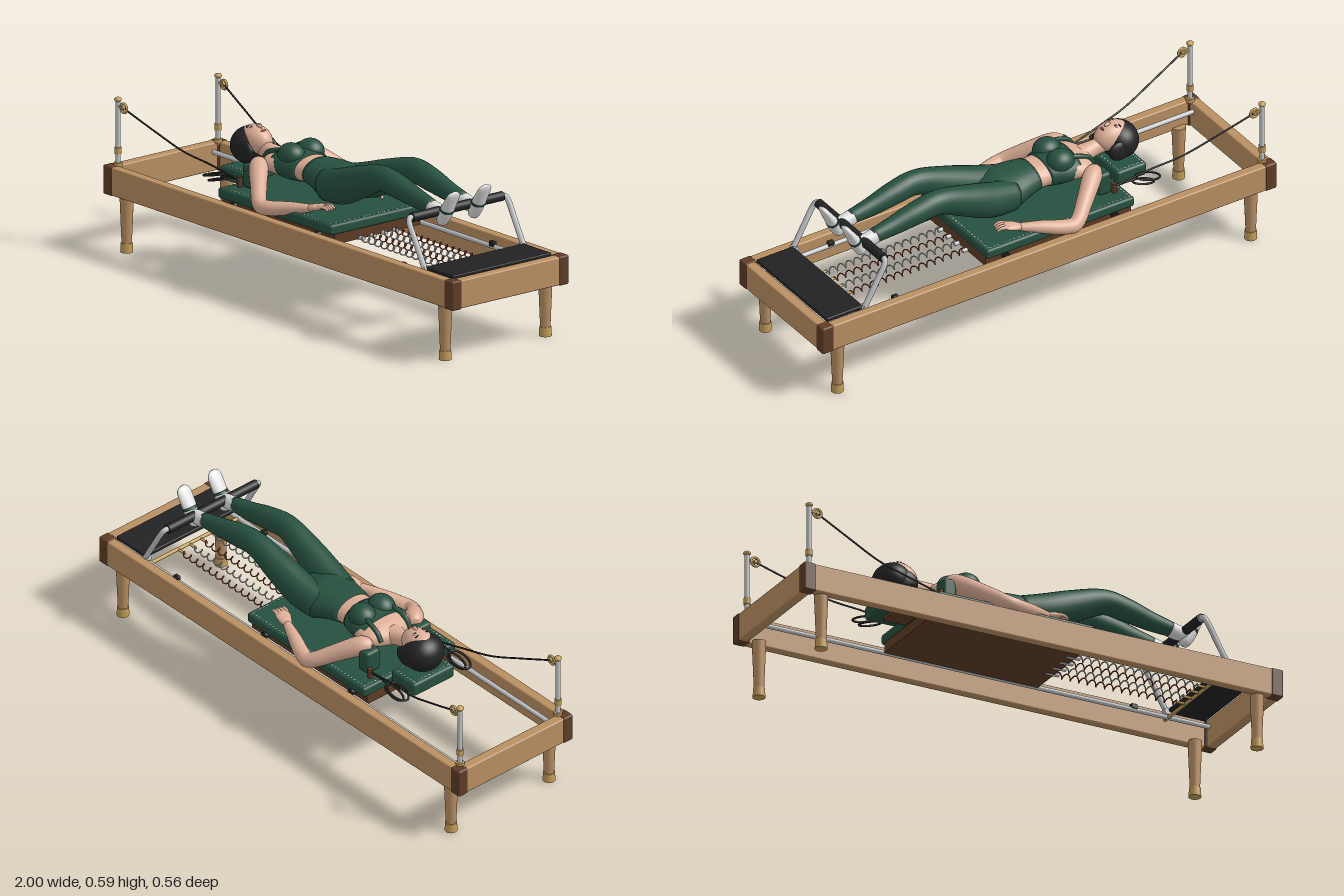
import * as THREE from 'three';
import { mergeGeometries } from 'three/addons/utils/BufferGeometryUtils.js';
import { RoundedBoxGeometry } from 'three/addons/geometries/RoundedBoxGeometry.js';

const V = (x, y, z) => new THREE.Vector3(x, y, z);
const material = (name, color) => Object.assign(new THREE.MeshStandardMaterial({ color }), { name });

// Smooth closed body through elliptical sections [x, y, z, sideRadius, upRadius]
function loft(sections, around = 24, steps = 6) {
  const path = new THREE.CatmullRomCurve3(sections.map(s => V(s[0], s[1], s[2])), false, 'catmullrom');
  const size = new THREE.CatmullRomCurve3(sections.map(s => V(s[3], s[4], 0)), false, 'catmullrom');
  const n = (sections.length - 1) * steps, pos = [], idx = [];
  for (let i = 0; i <= n; i++) {
    const c = path.getPoint(i / n), r = size.getPoint(i / n), t = path.getTangent(i / n);
    const side = t.clone().cross(V(0, 1, 0)).normalize(), up = side.clone().cross(t);
    for (let j = 0; j < around; j++) {
      const a = j / around * Math.PI * 2;
      const p = c.clone().addScaledVector(side, Math.cos(a) * r.x).addScaledVector(up, Math.sin(a) * r.y);
      pos.push(p.x, p.y, p.z);
      const k = (j + 1) % around, b = i * around;
      if (i < n) idx.push(b + j, b + around + j, b + k, b + around + j, b + around + k, b + k);
    }
  }
  const first = n * around + around, last = n * around;
  pos.push(...sections[0].slice(0, 3), ...sections.at(-1).slice(0, 3));
  for (let j = 0; j < around; j++) {
    const k = (j + 1) % around;
    idx.push(first, j, k, first + 1, last + k, last + j);
  }
  const g = new THREE.BufferGeometry();
  g.setAttribute('position', new THREE.Float32BufferAttribute(pos, 3));
  g.setIndex(idx);
  g.computeVertexNormals();
  return g;
}

export function createModel() {
  const wood = material('wood', 0xb98f63), darkWood = material('dark wood', 0x5e3c26);
  const green = material('green fabric', 0x26503f), skin = material('skin', 0xdcae97);
  const black = material('black', 0x222224), steel = material('steel', 0xc3c5c8);
  const brass = material('brass', 0xc29c58), white = material('white', 0xdedede);
  const red = material('red', 0x8c4030);
  const model = new THREE.Group();

  const add = (name, geo, mat, x = 0, y = 0, z = 0) => {
    const m = new THREE.Mesh(geo, mat);
    m.name = name;
    m.position.set(x, y, z);
    model.add(m);
    return m;
  };
  const box = (name, mat, w, h, d, x, y, z, r = 0) =>
    add(name, r ? new RoundedBoxGeometry(w, h, d, 3, r) : new THREE.BoxGeometry(w, h, d), mat, x, y, z);
  const ball = (name, mat, rx, ry, rz, x, y, z) =>
    add(name, new THREE.SphereGeometry(1, 32, 20).scale(rx, ry, rz), mat, x, y, z);
  const rod = (name, mat, a, b, r, r2 = r) => {
    const A = V(...a), B = V(...b), d = B.clone().sub(A);
    const m = add(name, new THREE.CylinderGeometry(r2, r, d.length(), 20), mat);
    m.position.copy(A).add(B).multiplyScalar(0.5);
    m.quaternion.setFromUnitVectors(V(0, 1, 0), d.normalize());
    return m;
  };
  const tube = (name, mat, pts, r, segs = 32, closed = false) =>
    add(name, new THREE.TubeGeometry(new THREE.CatmullRomCurve3(pts.map(p => V(...p)), closed), segs, r, 8, closed), mat);
  const both = fn => [1, -1].forEach(fn);

  // Dashed seam around the top of a pad
  const seam = (name, x0, x1, z, y) => {
    const dashes = [];
    for (let x = x0; x < x1; x += 0.018) both(s => dashes.push(new THREE.BoxGeometry(0.01, 0.002, 0.003).translate(x, y, s * z)));
    for (let c = -z; c < z; c += 0.018) [x0, x1].forEach(x => dashes.push(new THREE.BoxGeometry(0.003, 0.002, 0.01).translate(x, y, c)));
    add(name, mergeGeometries(dashes), white);
  };

  // Bed frame
  both(s => {
    box('sideRail', wood, 1.92, 0.108, 0.038, 0, 0.266, s * 0.259, 0.006);
    box('endRail', wood, 0.04, 0.108, 0.49, s * 0.977, 0.266, 0, 0.006);
    rod('slideRail', steel, [-0.96, 0.285, s * 0.216], [0.96, 0.285, s * 0.216], 0.009);
    box('railStop', black, 0.025, 0.02, 0.018, 0.64, 0.296, s * 0.214, 0.003);
    both(e => {
      box('cornerBlock', darkWood, 0.05, 0.112, 0.046, e * 0.975, 0.266, s * 0.257, 0.007);
      rod('leg', wood, [e * 0.91, 0.03, s * 0.24], [e * 0.91, 0.225, s * 0.24], 0.019, 0.027);
      rod('legFoot', brass, [e * 0.91, 0, s * 0.24], [e * 0.91, 0.036, s * 0.24], 0.024, 0.022);
    });
  });
  box('standingPlate', black, 0.16, 0.016, 0.47, 0.872, 0.32, 0, 0.004);
  rod('springBar', brass, [0.785, 0.285, -0.24], [0.785, 0.285, 0.24], 0.007);

  // Springs
  [-0.081, -0.027, 0.027, 0.081].forEach((z, i) => {
    const pts = [];
    for (let k = 0; k <= 112; k++) {
      const a = k / 8 * Math.PI * 2;
      pts.push([0.25 + k / 112 * 0.5, 0.283 + Math.cos(a) * 0.011, z + Math.sin(a) * 0.011]);
    }
    tube('spring', i % 2 ? steel : red, pts, 0.0025, 168);
    rod('springHook', brass, [0.745, 0.285, z], [0.79, 0.285, z], 0.005);
    rod('springAnchor', steel, [0.2, 0.283, z], [0.255, 0.283, z], 0.008);
  });

  // Sliding carriage and its pads
  box('carriageBase', darkWood, 0.64, 0.04, 0.41, -0.085, 0.299, 0);
  box('carriagePad', green, 0.65, 0.04, 0.45, -0.085, 0.337, 0, 0.01);
  seam('carriageSeam', -0.395, 0.225, 0.21, 0.357);
  box('headPad', green, 0.13, 0.055, 0.2, -0.482, 0.362, 0, 0.012);
  box('headPadSupport', darkWood, 0.12, 0.014, 0.08, -0.44, 0.328, 0);
  seam('headPadSeam', -0.532, -0.43, 0.085, 0.3895);
  both(s => {
    box('shoulderRest', green, 0.055, 0.09, 0.065, -0.325, 0.405, s * 0.125, 0.012);
    rod('shoulderRestPeg', darkWood, [-0.365, 0.35, s * 0.155], [-0.365, 0.395, s * 0.155], 0.01);
    [-0.33, 0.15].forEach(x => rod('carriageWheel', black, [x, 0.3, s * 0.2], [x, 0.3, s * 0.222], 0.014));
  });

  // Pulley posts, ropes and hand loops
  both(s => {
    const z = s * 0.24;
    rod('post', steel, [-0.96, 0.31, z], [-0.96, 0.565, z], 0.009);
    rod('postBase', brass, [-0.96, 0.315, z], [-0.96, 0.332, z], 0.016);
    rod('postCollar', brass, [-0.96, 0.365, z], [-0.96, 0.39, z], 0.013);
    ball('postCap', brass, 0.014, 0.009, 0.014, -0.96, 0.573, z);
    rod('pulleyArm', brass, [-0.96, 0.548, z], [-0.93, 0.546, z], 0.005);
    add('pulleyRing', new THREE.TorusGeometry(0.017, 0.005, 10, 28), brass, -0.926, 0.546, z);
    rod('pulleyHub', brass, [-0.926, 0.546, z - 0.008], [-0.926, 0.546, z + 0.008], 0.007);
    tube('rope', black, [[-0.925, 0.545, z], [-0.78, 0.487, s * 0.216], [-0.64, 0.435, s * 0.192],
      [-0.52, 0.412, s * 0.172], [-0.38, 0.383, s * 0.155]], 0.0035);
    [[0.05, 0.03, 0.37], [0.045, 0.022, 0.355]].forEach(([rx, rz, y], i) => {
      const pts = [];
      for (let k = 0; k < 12; k++) {
        const a = k / 12 * Math.PI * 2;
        pts.push([-0.515 + i * 0.02 + Math.cos(a) * rx, y + Math.cos(a) * 0.012, s * 0.152 + Math.sin(a) * rz]);
      }
      tube('handLoop', black, pts, 0.004, 48, true);
    });
    rod('loopStrap', black, [-0.47, 0.378, s * 0.153], [-0.37, 0.383, s * 0.155], 0.004);
  });

  // Foot bar
  both(s => {
    tube('footBarArm', steel, [[0.788, 0.32, s * 0.237], [0.74, 0.405, s * 0.237], [0.7, 0.475, s * 0.236],
      [0.692, 0.489, s * 0.228], [0.69, 0.49, s * 0.2]], 0.011);
    rod('footBarPivot', steel, [0.788, 0.315, s * 0.22], [0.788, 0.315, s * 0.245], 0.014);
  });
  rod('footBarPad', black, [0.69, 0.489, -0.217], [0.69, 0.489, 0.217], 0.018);

  // Torso and clothing
  add('torso', loft([[-0.345, 0.452, 0, 0.03, 0.025], [-0.31, 0.45, 0, 0.095, 0.038], [-0.27, 0.452, 0, 0.115, 0.048],
    [-0.2, 0.453, 0, 0.1, 0.055], [-0.13, 0.45, 0, 0.081, 0.05], [-0.07, 0.45, 0, 0.08, 0.05]]), skin);
  add('top', loft([[-0.262, 0.454, 0, 0.107, 0.053], [-0.2, 0.455, 0, 0.105, 0.061], [-0.14, 0.451, 0, 0.087, 0.054]]), green);
  add('leggingsHips', loft([[-0.095, 0.45, 0, 0.083, 0.054], [-0.03, 0.446, 0, 0.1, 0.062], [0.04, 0.435, 0, 0.118, 0.072],
    [0.09, 0.437, 0, 0.108, 0.064], [0.15, 0.45, 0, 0.05, 0.03]]), green);
  add('neck', loft([[-0.42, 0.465, 0, 0.03, 0.03], [-0.37, 0.46, 0, 0.03, 0.032], [-0.31, 0.452, 0, 0.045, 0.036]]), skin);

  both(s => {
    ball('chest', green, 0.055, 0.047, 0.05, -0.2, 0.494, s * 0.046);
    tube('shoulderStrap', green, [[-0.23, 0.51, s * 0.06], [-0.27, 0.502, s * 0.068], [-0.31, 0.484, s * 0.07],
      [-0.33, 0.455, s * 0.07]], 0.009);
    // Legs and feet
    add('leggingsLeg', loft([[0.02, 0.432, s * 0.06, 0.054, 0.06], [0.12, 0.452, s * 0.066, 0.061, 0.068],
      [0.22, 0.49, s * 0.073, 0.056, 0.062], [0.35, 0.536, s * 0.078, 0.045, 0.049], [0.45, 0.526, s * 0.077, 0.043, 0.045],
      [0.55, 0.505, s * 0.075, 0.035, 0.037], [0.645, 0.49, s * 0.075, 0.027, 0.028]]), green);
    add('sockAnkle', loft([[0.635, 0.49, s * 0.075, 0.029, 0.03], [0.67, 0.483, s * 0.075, 0.027, 0.029],
      [0.715, 0.478, s * 0.075, 0.024, 0.024]]), white);
    add('sockFoot', loft([[0.69, 0.437, s * 0.075, 0.006, 0.006], [0.695, 0.447, s * 0.075, 0.021, 0.02],
      [0.715, 0.482, s * 0.075, 0.027, 0.024], [0.74, 0.525, s * 0.075, 0.031, 0.018],
      [0.762, 0.562, s * 0.075, 0.029, 0.012], [0.771, 0.576, s * 0.075, 0.012, 0.005]]), white);
    add('footStrap', loft([[0.722, 0.497, s * 0.075, 0.0305, 0.025], [0.727, 0.505, s * 0.075, 0.0315, 0.0235]]), green);
    // Arms and hands
    add('arm', loft([[-0.32, 0.447, s * 0.105, 0.02, 0.022], [-0.285, 0.445, s * 0.132, 0.036, 0.037],
      [-0.21, 0.4, s * 0.195, 0.031, 0.033], [-0.14, 0.357, s * 0.247, 0.028, 0.029],
      [-0.09, 0.353, s * 0.242, 0.029, 0.028], [-0.01, 0.365, s * 0.21, 0.025, 0.024],
      [0.07, 0.377, s * 0.178, 0.016, 0.014]]), skin);
    add('palm', loft([[0.06, 0.376, s * 0.181, 0.015, 0.013], [0.09, 0.384, s * 0.171, 0.026, 0.013],
      [0.118, 0.391, s * 0.162, 0.027, 0.01], [0.125, 0.392, s * 0.16, 0.02, 0.005]]), skin);
    for (let i = 0; i < 4; i++) {
      const z = 0.142 + i * 0.013, x = 0.108 + i * 0.003;
      add('finger', loft([[x, 0.392, s * z, 0.007, 0.007], [x + 0.025, 0.394, s * (z - 0.006), 0.0065, 0.0065],
        [x + 0.043, 0.385, s * (z - 0.01), 0.004, 0.004]], 10, 4), skin);
    }
    add('thumb', loft([[0.08, 0.381, s * 0.158, 0.009, 0.009], [0.105, 0.375, s * 0.134, 0.007, 0.007],
      [0.12, 0.368, s * 0.12, 0.004, 0.004]], 10, 4), skin);
  });

  // Head, hair and face
  ball('hair', black, 0.073, 0.072, 0.08, -0.487, 0.462, 0);
  ball('face', skin, 0.077, 0.058, 0.053, -0.46, 0.486, 0);
  const faceY = (x, z) => 0.486 + 0.058 * Math.sqrt(1 - ((x + 0.46) / 0.077) ** 2 - (z / 0.053) ** 2);
  const feature = (name, mat, rx, rz, x, z) => ball(name, mat, rx, 0.004, rz, x, faceY(x, z) - 0.001, z);
  both(s => {
    feature('eyeWhite', white, 0.005, 0.009, -0.46, s * 0.021);
    ball('iris', black, 0.0045, 0.004, 0.0055, -0.46, faceY(-0.46, 0.021) + 0.0005, s * 0.021);
    feature('eyebrow', black, 0.0025, 0.011, -0.476, s * 0.022);
    ball('sideHair', black, 0.048, 0.04, 0.018, -0.455, 0.452, s * 0.058);
  });
  ball('nose', skin, 0.014, 0.011, 0.007, -0.438, 0.54, 0);
  feature('lips', red, 0.005, 0.012, -0.414, 0);

  return model;
}
